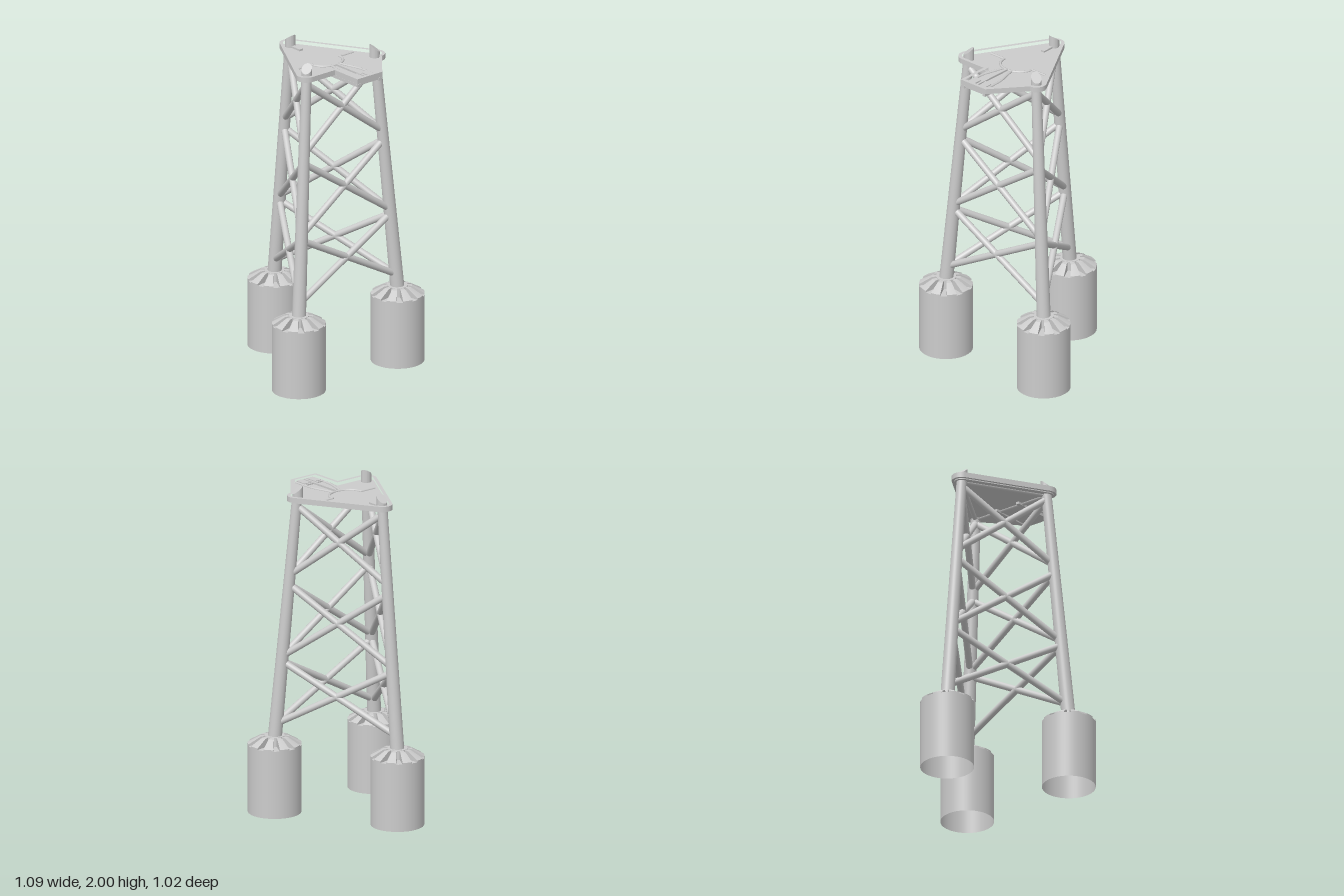
import * as THREE from 'three';

const V = (x, y, z) => new THREE.Vector3(x, y, z);
const mat = new THREE.MeshStandardMaterial({ color: 0xcccccc });
const openMat = new THREE.MeshStandardMaterial({ color: 0xcccccc, side: THREE.DoubleSide });

// Foot and head centres of the three legs
const feet = [V(0.385, 0.44, 0.313), V(0, 0.44, -0.353), V(-0.385, 0.44, 0.313)];
const heads = [V(0.265, 1.96, 0.245), V(0, 1.96, -0.212), V(-0.265, 1.96, 0.245)];
const legAt = (i, y) => feet[i].clone().lerp(heads[i], (y - 0.44) / 1.52);

function add(parent, name, geometry, material = mat) {
  const mesh = new THREE.Mesh(geometry, material);
  mesh.name = name;
  parent.add(mesh);
  return mesh;
}

// Tapered round bar between two points
function bar(parent, name, a, b, ra, rb = ra, sides = 20) {
  const mesh = add(parent, name, new THREE.CylinderGeometry(rb, ra, a.distanceTo(b), sides));
  mesh.position.copy(a).lerp(b, 0.5);
  mesh.quaternion.setFromUnitVectors(V(0, 1, 0), b.clone().sub(a).normalize());
  return mesh;
}

function box(parent, name, w, h, d, x, y, z) {
  const mesh = add(parent, name, new THREE.BoxGeometry(w, h, d));
  mesh.position.set(x, y, z);
  return mesh;
}

// Hollow bucket, open below, with a ring of raised wedges around the leg socket
function bucket(foot) {
  const g = new THREE.Group();
  g.name = 'suctionBucket';
  const R = 0.159, top = 0.415;
  const skirt = add(g, 'bucketSkirt', new THREE.CylinderGeometry(R, R, top, 48, 1, true), openMat);
  skirt.position.y = top / 2;
  const lid = add(g, 'bucketLid', new THREE.CircleGeometry(R, 48), openMat);
  lid.rotation.x = -Math.PI / 2;
  lid.position.y = top;
  const socket = add(g, 'legSocket', new THREE.CylinderGeometry(0.06, 0.064, 0.055, 32));
  socket.position.y = top + 0.0275;
  const profile = [[0.04, top], [R, top], [R, 0.424], [0.085, 0.466], [0.04, 0.47]]
    .map(([x, y]) => new THREE.Vector2(x, y));
  const step = Math.PI / 5, span = step * 0.6;
  for (let i = 0; i < 10; i++) {
    const start = (i + 0.5) * step - span / 2;
    // separate lathe per profile edge keeps the creases sharp
    for (let k = 1; k < 4; k++)
      add(g, 'lidWedge', new THREE.LatheGeometry([profile[k], profile[k + 1]], 4, start, span), openMat);
    for (const phi of [start, start + span]) {
      const side = add(g, 'lidWedgeSide', new THREE.ShapeGeometry(new THREE.Shape(profile)), openMat);
      side.rotation.y = phi - Math.PI / 2;
    }
  }
  g.position.set(foot.x, 0, foot.z);
  return g;
}

// Rounded triangle with a front landing; inset shrinks it evenly
function outline(inset, Type = THREE.Shape) {
  const r = 0.06 - inset, w = 0.097 - inset, end = 0.508 - inset, rad = Math.PI / 180;
  const s = new Type();
  s.moveTo(w, 0.245 + r);
  s.absarc(0.268, 0.245, r, 90 * rad, -30 * rad, true);
  s.absarc(0, -0.215, r, -30 * rad, -150 * rad, true);
  s.absarc(-0.268, 0.245, r, 210 * rad, 90 * rad, true);
  s.lineTo(-w, 0.245 + r);
  s.lineTo(-w, end);
  s.lineTo(w, end);
  s.closePath();
  return s;
}

// Horizontal slab from a plan shape, given its top height and thickness
function slab(parent, name, shape, top, depth) {
  const geo = new THREE.ExtrudeGeometry(shape, { depth, bevelEnabled: false, curveSegments: 12 });
  geo.rotateX(Math.PI / 2);
  geo.translate(0, top, 0);
  return add(parent, name, geo);
}

function deck() {
  const g = new THREE.Group();
  g.name = 'deck';
  slab(g, 'deckPlate', outline(0.014), 1.921, 0.016);
  const rim = outline(0);
  rim.holes.push(outline(0.02, THREE.Path));
  slab(g, 'deckRim', rim, 1.943, 0.032);

  // Edge beams under the plate
  for (let i = 0; i < 3; i++)
    bar(g, 'edgeBeam', legAt(i, 1.906).setY(1.906), legAt((i + 1) % 3, 1.906).setY(1.906), 0.014);

  // Raised curb curving around the landing entrance
  const pts = [V(-0.215, 1.922, 0.108), V(-0.108, 1.922, 0.108)];
  for (let i = 0; i <= 16; i++) {
    const a = Math.PI * (1 - i / 16);
    pts.push(V(0.108 * Math.cos(a), 1.922, 0.113 + 0.09 * Math.sin(a)));
  }
  pts.push(V(0.108, 1.922, 0.108), V(0.215, 1.922, 0.108));
  const curb = new THREE.CurvePath();
  for (let i = 1; i < pts.length; i++) curb.add(new THREE.LineCurve3(pts[i - 1], pts[i]));
  add(g, 'deckCurb', new THREE.TubeGeometry(curb, 80, 0.008, 8));

  // Landing: ribs above, keel beams below, a pair of pads at the end
  for (const s of [-1, 1]) {
    const rib = new THREE.CatmullRomCurve3([
      V(s * 0.03, 1.922, 0.2), V(s * 0.045, 1.922, 0.26), V(s * 0.066, 1.922, 0.34), V(s * 0.07, 1.922, 0.49)]);
    add(g, 'landingRib', new THREE.TubeGeometry(rib, 20, 0.008, 8));
    box(g, 'landingPad', 0.046, 0.012, 0.075, s * 0.04, 1.926, 0.457);
    box(g, 'landingKeel', 0.022, 0.018, 0.3, s * 0.082, 1.899, 0.355);
  }
  box(g, 'landingCentreRib', 0.014, 0.016, 0.29, 0, 1.924, 0.35);
  box(g, 'landingCrossRib', 0.14, 0.01, 0.012, 0, 1.924, 0.41);
  box(g, 'landingUnderside', 0.17, 0.01, 0.26, 0, 1.902, 0.37);
  box(g, 'backBracket', 0.026, 0.014, 0.1, 0, 1.925, -0.16);
  return g;
}

// Leg stub above the deck, its top cut to slope down outward
function legStub(i) {
  const r = 0.031, geo = new THREE.CylinderGeometry(r, r, 0.1, 24);
  const out = V(heads[i].x, 0, heads[i].z - 0.09).normalize();
  const pos = geo.attributes.position;
  for (let k = 0; k < pos.count; k++)
    if (pos.getY(k) > 0) {
      const d = (pos.getX(k) * out.x + pos.getZ(k) * out.z) / r;
      pos.setY(k, 0.05 - 0.024 * (1 + d));
    }
  const flat = geo.toNonIndexed();
  flat.computeVertexNormals();
  const mesh = new THREE.Mesh(flat, mat);
  mesh.name = 'legStub';
  mesh.position.set(heads[i].x, 1.95, heads[i].z);
  return mesh;
}

export function createModel() {
  const model = new THREE.Group();
  model.name = 'jacketFoundation';
  for (let i = 0; i < 3; i++) {
    model.add(bucket(feet[i]));
    bar(model, 'leg', legAt(i, 0.42), legAt(i, 1.92), 0.042, 0.03, 28);
    model.add(legStub(i));
    // Three crossed bays on each face
    const j = (i + 1) % 3;
    for (const [hi, lo] of [[1.88, 1.455], [1.395, 0.955], [0.925, 0.54]]) {
      bar(model, 'crossBrace', legAt(i, hi), legAt(j, lo), 0.02);
      bar(model, 'crossBrace', legAt(j, hi), legAt(i, lo), 0.02);
    }
  }
  model.add(deck());
  return model;
}
